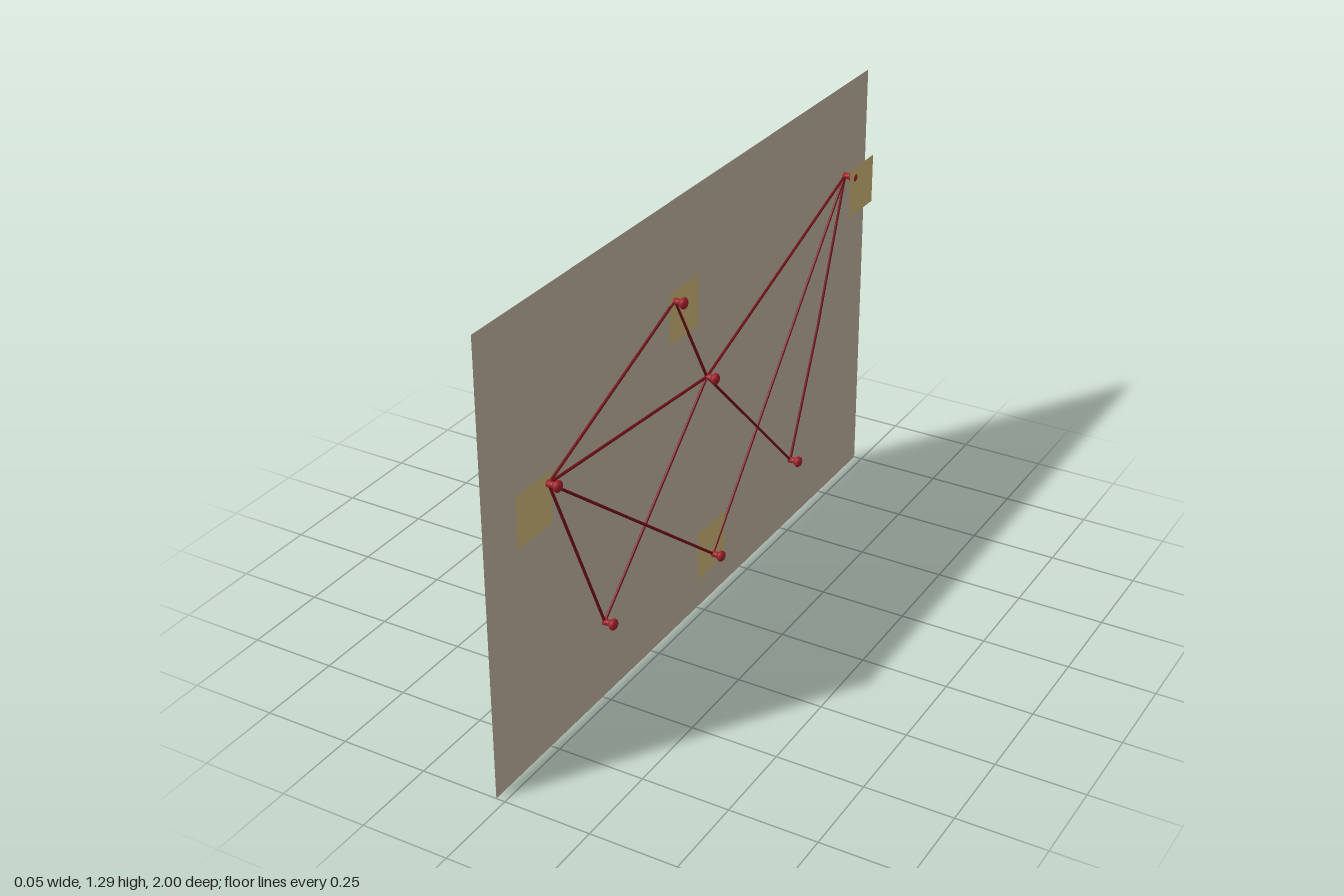
import * as THREE from 'three';

const mat = (name, color, side = THREE.FrontSide) => {
  const m = new THREE.MeshStandardMaterial({ color, side });
  m.name = name;
  return m;
};

export function createModel() {
  const group = new THREE.Group();
  group.name = 'stringBoard';
  const boardMat = mat('board beige', 0xbaad99, THREE.DoubleSide);
  const noteMat = mat('note yellow', 0xc6b072, THREE.DoubleSide);
  const pinMat = mat('pin red', 0x9a1f28);
  const stringMat = mat('string dark red', 0x741219);

  const add = (name, geometry, material, x, y, z) => {
    const mesh = new THREE.Mesh(geometry, material);
    mesh.name = name;
    mesh.position.set(x, y, z);
    group.add(mesh);
    return mesh;
  };
  // Thin sheet facing +x
  const sheet = (w, h) => new THREE.PlaneGeometry(w, h).rotateY(Math.PI / 2);

  // Backing board
  add('board', sheet(2, 1.294), boardMat, -0.0256, 0.647, 0);

  // Paper notes: x, y, z of the centre (one hangs far out, near the pin head)
  const notes = [
    [-0.0145, 0.739, 0.799],
    [-0.012, 0.975, 0.085],
    [-0.012, 0.18, -0.059],
    [0.0232, 0.982, -0.877],
  ];
  for (const [x, y, z] of notes) add('note', sheet(0.15, 0.147), noteMat, x, y, z);

  // Push pins: y, z
  const pins = {
    a: [0.783, 0.738],
    b: [1.022, 0.134],
    c: [0.727, -0.033],
    d: [1.022, -0.84],
    e: [0.247, 0.503],
    f: [0.147, -0.068],
    g: [0.225, -0.531],
  };
  // Pin profile as radius, x: straight shaft, flare and domed head
  const profile = [
    [0, -0.015], [0.0095, -0.015], [0.0085, 0.002], [0.010, 0.006], [0.0145, 0.010],
    [0.0162, 0.0145], [0.0155, 0.019], [0.012, 0.0228], [0.0065, 0.025], [0, 0.0256],
  ].map(([r, x]) => new THREE.Vector2(r, x));
  const pinGeo = new THREE.LatheGeometry(profile, 20).rotateZ(-Math.PI / 2);
  for (const [y, z] of Object.values(pins)) add('pin', pinGeo, pinMat, 0, y, z);

  // Strings between pins, each a straight tube
  const sx = -0.0115;
  const strand = (p, q) => {
    const from = new THREE.Vector3(sx, ...p);
    const to = new THREE.Vector3(sx, ...q);
    const dir = to.clone().sub(from);
    const mid = from.clone().add(to).multiplyScalar(0.5);
    const mesh = add('string', new THREE.CylinderGeometry(0.004, 0.004, dir.length(), 8),
      stringMat, mid.x, mid.y, mid.z);
    mesh.quaternion.setFromUnitVectors(new THREE.Vector3(0, 1, 0), dir.normalize());
  };
  for (const [p, q] of ['ab', 'ac', 'ae', 'af', 'bc', 'ce', 'cg', 'cd', 'df']) strand(pins[p], pins[q]);

  // One slightly bent string
  const bend = [0.6, -0.69];
  strand(pins.g, bend);
  strand(bend, pins.d);

  return group;
}
